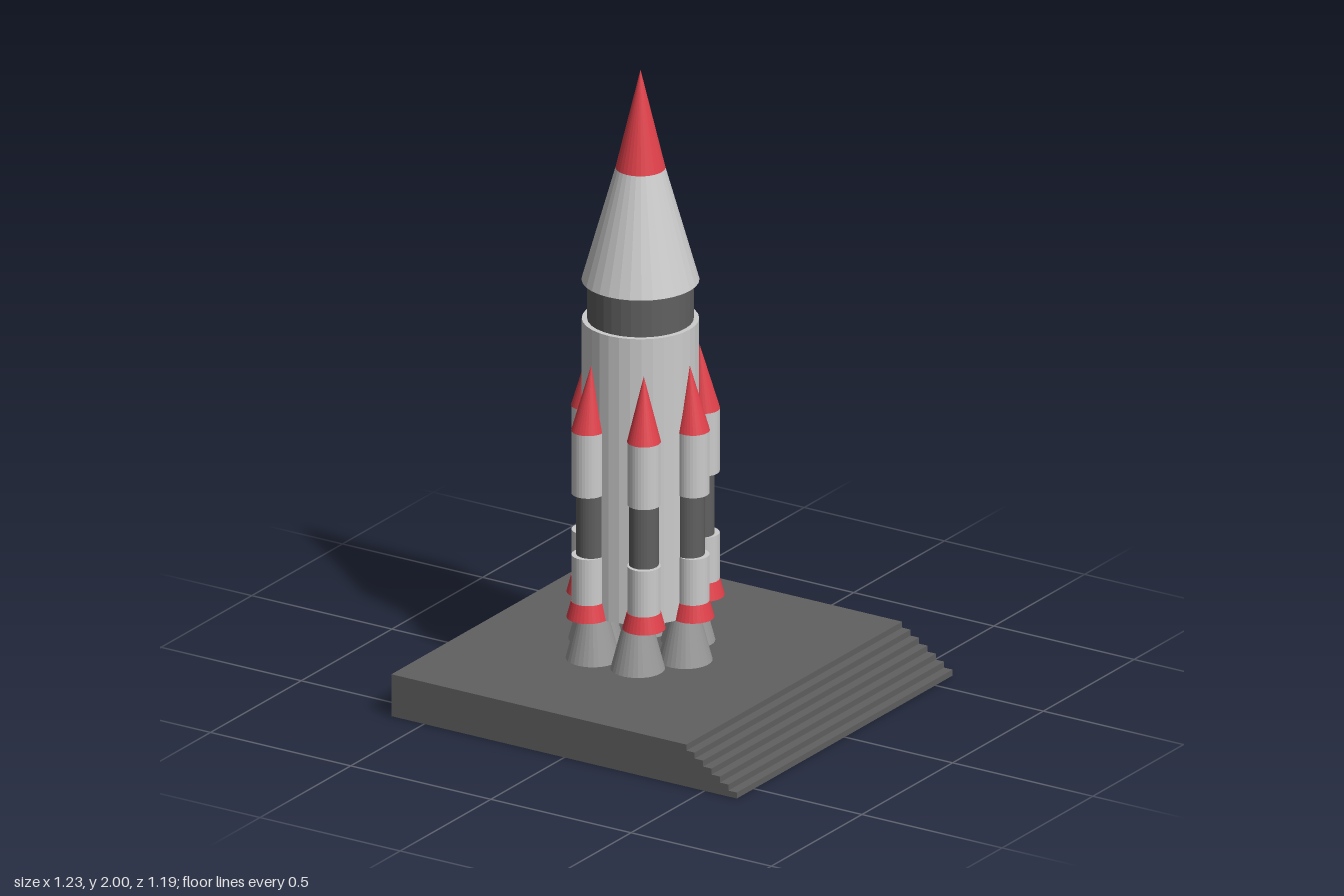
import * as THREE from 'three';

const paint = (color) => new THREE.MeshStandardMaterial({ color, flatShading: true });

export function createModel() {
  const model = new THREE.Group();
  const grey = paint(0xcccccc);
  const nozzleGrey = paint(0x999999);
  const dark = paint(0x606060);
  const red = paint(0xe0404a);

  // Round section between two heights
  function section(parent, name, mat, rBottom, rTop, y0, y1, x = 0, z = 0, sides = 32) {
    const geo = rTop === 0
      ? new THREE.ConeGeometry(rBottom, y1 - y0, sides)
      : new THREE.CylinderGeometry(rTop, rBottom, y1 - y0, sides);
    const mesh = new THREE.Mesh(geo, mat);
    mesh.name = name;
    mesh.position.set(x, (y0 + y1) / 2, z);
    parent.add(mesh);
    return mesh;
  }

  // Launch platform with a flight of steps along its left side
  const levels = 7, height = 0.135, depth = 1.19;
  const shape = new THREE.Shape();
  shape.moveTo(-0.617, 0);
  shape.lineTo(0.615, 0);
  for (let i = 0; i < levels; i++) {
    const x = 0.615 - i * 0.03;
    shape.lineTo(x, (i + 1) * height / levels);
    if (i < levels - 1) shape.lineTo(x - 0.03, (i + 1) * height / levels);
  }
  shape.lineTo(-0.617, height);
  shape.closePath();
  const platformGeo = new THREE.ExtrudeGeometry(shape, { depth, bevelEnabled: false });
  platformGeo.translate(0, 0, -depth / 2);
  const platform = new THREE.Mesh(platformGeo, dark);
  platform.name = 'platform';
  model.add(platform);

  // Rocket, standing off-centre on the platform
  const rocket = new THREE.Group();
  rocket.name = 'rocket';
  rocket.position.set(-0.105, 0, 0.013);
  model.add(rocket);

  section(rocket, 'body', grey, 0.176, 0.176, 0.28, 1.2);
  section(rocket, 'neckBand', dark, 0.16, 0.16, 1.2, 1.327);
  section(rocket, 'upperStage', grey, 0.177, 0.075, 1.325, 1.685);
  section(rocket, 'noseCone', red, 0.075, 0, 1.685, 2.0);

  // Ring of engine nozzles
  for (let i = 0; i < 6; i++) {
    const a = i * Math.PI / 3;
    section(rocket, 'nozzle', nozzleGrey, 0.082, 0.043, height, 0.285,
      0.16 * Math.cos(a), 0.16 * Math.sin(a));
  }

  // Six strap-on boosters, each with its band and tip set slightly inward
  const spots = [[0.187, 0], [0.116, 0.16], [-0.075, 0.173],
    [-0.187, 0], [-0.075, -0.177], [0.116, -0.166]];
  for (const [x, z] of spots) {
    const booster = new THREE.Group();
    booster.name = 'booster';
    booster.position.set(x, 0, z);
    rocket.add(booster);
    const r = Math.hypot(x, z);
    const ix = -0.011 * x / r, iz = -0.011 * z / r;
    section(booster, 'boosterFlare', red, 0.065, 0.051, 0.28, 0.332);
    section(booster, 'boosterLower', grey, 0.05, 0.05, 0.332, 0.48);
    section(booster, 'boosterBand', dark, 0.045, 0.045, 0.48, 0.68, ix, iz);
    section(booster, 'boosterUpper', grey, 0.05, 0.05, 0.678, 0.88);
    const tip = section(booster, 'boosterTip', red, 0.051, 0, 0.88, 1.085);
    // Lean the tip toward the body
    const p = tip.geometry.attributes.position;
    for (let i = 0; i < p.count; i++) {
      const t = p.getY(i) / 0.205 + 0.5;
      p.setX(i, p.getX(i) + ix * t);
      p.setZ(i, p.getZ(i) + iz * t);
    }
    tip.geometry.computeVertexNormals();
  }

  return model;
}
